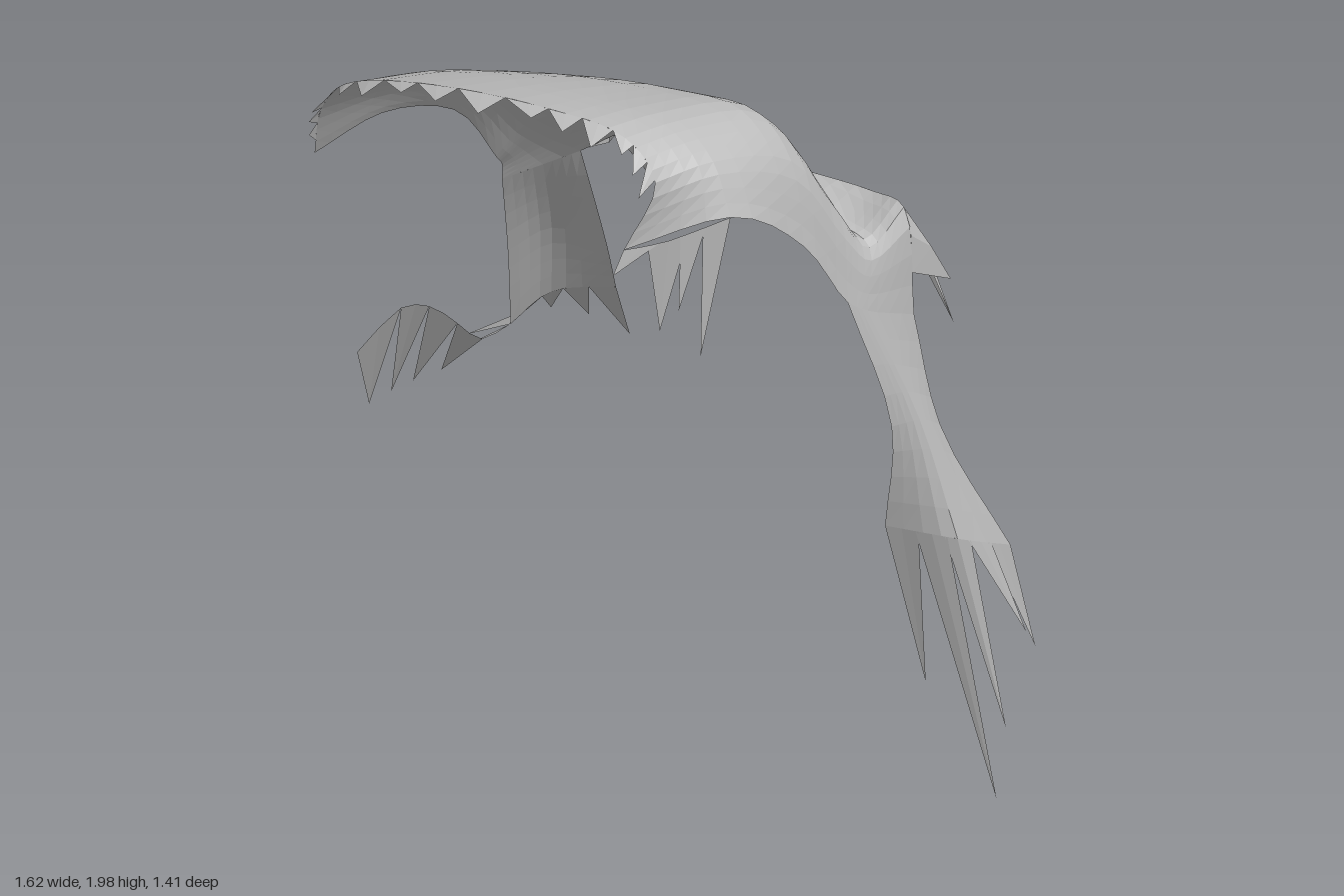
import * as THREE from 'three';

const cloth = new THREE.MeshStandardMaterial({ color: 0xbcbcbc, side: THREE.DoubleSide, flatShading: true });
cloth.name = 'grey cloth';

const curve = (pts) => new THREE.CatmullRomCurve3(pts.map((p) => new THREE.Vector3(...p)));

// smooth surface through rows of points; u runs along a row, v from row to row
function surface(rows) {
  const curves = rows.map(curve);
  return (u, v) => new THREE.CatmullRomCurve3(curves.map((c) => c.getPoint(u))).getPoint(v);
}

function mesh(name, positions, index) {
  const g = new THREE.BufferGeometry();
  g.setAttribute('position', new THREE.Float32BufferAttribute(positions, 3));
  if (index) g.setIndex(index);
  g.computeVertexNormals();
  const m = new THREE.Mesh(g, cloth);
  m.name = name;
  return m;
}

function sheet(name, at, nu, nv) {
  const pos = [], idx = [];
  for (let j = 0; j <= nv; j++)
    for (let i = 0; i <= nu; i++) {
      pos.push(...at(i / nu, j / nv).toArray());
      if (i < nu && j < nv) {
        const a = j * (nu + 1) + i, b = a + nu + 1;
        idx.push(a, b, a + 1, a + 1, b, b + 1);
      }
    }
  return mesh(name, pos, idx);
}

// torn points along an edge: each entry is [u start, u end, tip], slightly pleated
function tatters(name, edge, list, pleat = [0, 0, 0]) {
  const pos = [];
  for (const [u0, u1, tip] of list) {
    const a = edge(u0).toArray(), b = edge(u1).toArray();
    const m = edge((u0 + u1) / 2).toArray();
    const fold = m.map((c, k) => c * 0.6 + tip[k] * 0.4 + pleat[k]);
    pos.push(...a, ...m, ...fold, ...m, ...b, ...fold, ...a, ...fold, ...tip, ...fold, ...b, ...tip);
  }
  return mesh(name, pos);
}

// spread tips evenly along an edge
const evenly = (tips) => tips.map((t, i) => [i / tips.length, (i + 1) / tips.length, t]);

export function createModel() {
  const group = new THREE.Group();

  // arched main cloth, front edge first
  const canopy = surface([
    [[-.38, 1.59, .51], [-.28, 1.76, .59], [-.15, 1.885, .64], [.1, 1.97, .645], [.42, 2, .59], [.62, 1.97, .53], [.7, 1.88, .515], [.66, 1.72, .575]],
    [[-.345, 1.64, .33], [-.28, 1.73, .35], [-.15, 1.82, .36], [.1, 1.9, .37], [.4, 1.95, .37], [.62, 1.955, .36], [.73, 1.89, .36], [.785, 1.77, .36]],
    [[-.345, 1.57, .1], [-.27, 1.64, .1], [-.13, 1.715, .1], [.1, 1.795, .1], [.4, 1.865, .1], [.62, 1.885, .1], [.72, 1.8, .1], [.76, 1.6, .1]],
    [[-.4, 1.37, -.09], [-.32, 1.47, -.1], [-.16, 1.56, -.1], [.1, 1.63, -.1], [.4, 1.68, -.08], [.62, 1.66, -.07], [.71, 1.59, -.07], [.74, 1.4, -.06]],
    [[-.42, 1.33, -.13], [-.33, 1.41, -.18], [-.16, 1.5, -.2], [.1, 1.56, -.19], [.4, 1.58, -.16], [.62, 1.53, -.15], [.72, 1.5, -.15], [.742, 1.36, -.12]],
    [[-.44, 1.28, -.15], [-.33, 1.34, -.29], [-.16, 1.45, -.29], [.1, 1.52, -.265], [.4, 1.555, -.25], [.62, 1.57, -.26], [.73, 1.57, -.25], [.742, 1.3, -.27]],
  ]);
  group.add(sheet('mainCloth', canopy, 28, 20));

  // teeth along the front edge, more drooping towards the left
  const front = (u) => canopy(u, 0);
  const teeth = [];
  for (let i = 0; i < 15; i++) {
    const u0 = .04 + i * .054, p = front(u0 + .04);
    const len = .035 + .012 * ((i * 7) % 3);
    teeth.push([u0, u0 + .054, [p.x + .01, p.y - len * (.1 + .6 * u0), p.z + len]]);
  }
  group.add(tatters('frontTeeth', front, teeth));

  // long points along the back edge
  const back = (u) => canopy(u, 1);
  group.add(tatters('backTatters', back, [
    [.16, .235, [-.27, 1.37, -.32]],
    [.235, .34, [-.21, 1.26, -.41]], [.32, .42, [-.08, 1.23, -.45]],
    [.4, .45, [.05, 1.45, -.31]], [.435, .515, [.13, 1.31, -.42]],
    [.5, .545, [.23, 1.47, -.31]], [.53, .62, [.3, 1.25, -.47]],
    [.605, .7, [.48, 1.46, -.33]], [.68, .79, [.6, 1.33, -.43]],
    [.77, .87, [.69, 1.2, -.45]], [.86, .95, [.73, 1.34, -.4]],
  ], [0, .01, -.015]));

  // hanging points at the left front corner
  const corner = curve([[.66, 1.72, .575], [.71, 1.73, .5], [.75, 1.75, .43], [.785, 1.77, .36]]);
  group.add(tatters('cornerTatters', (u) => corner.getPoint(u), [
    [0, .3, [.65, 1.66, .6]], [.2, .58, [.69, 1.5, .49]], [.5, .75, [.72, 1.55, .46]], [.72, 1, [.73, 1.42, .4]],
  ]));

  // trailing strips growing out of the main cloth: sheet plus torn end
  function strip(name, start, rows, tips) {
    const at = surface([start.map(([u, v]) => canopy(u, v).toArray()), ...rows]);
    group.add(sheet(name, at, 8, 8));
    group.add(tatters(name + 'Tatters', (u) => at(u, 1), tips));
  }
  strip('leftStrip', [[1, .6], [1, .8], [1, 1]], [
    [[.75, 1.05, -.19], [.77, 1.05, -.26], [.745, 1.0, -.35]],
    [[.69, .77, -.23], [.81, .74, -.34], [.74, .62, -.58]],
  ], [
    [0, .22, [.68, .33, -.37]], [.2, .42, [.765, .02, -.51]], [.4, .6, [.785, .2, -.52]],
    [.58, .8, [.79, .42, -.58]], [.76, 1, [.71, .32, -.69]],
  ]);
  strip('rightStrip', [[0, 1], [.0715, 1], [.143, 1]], [
    [[-.55, 1.02, -.28], [-.52, 1.05, -.39], [-.445, 1.0, -.49]],
    [[-.66, .76, -.4], [-.61, .83, -.48], [-.51, .84, -.585]],
  ], evenly([[-.81, .68, -.41], [-.7, .75, -.49], [-.7, .73, -.57], [-.63, .72, -.62], [-.58, .66, -.7]]));

  // curled scrap at the end of the right strip
  const scrap = curve([[-.66, .76, -.4], [-.65, .76, -.3], [-.63, .84, -.2], [-.62, .92, -.1], [-.63, .94, -.02], [-.67, .85, .08]]);
  group.add(tatters('curledScrap', (u) => scrap.getPoint(u), evenly([
    [-.74, .7, -.33], [-.75, .66, -.27], [-.77, .65, -.2], [-.78, .64, -.14], [-.8, .62, -.09]])));

  return group;
}
